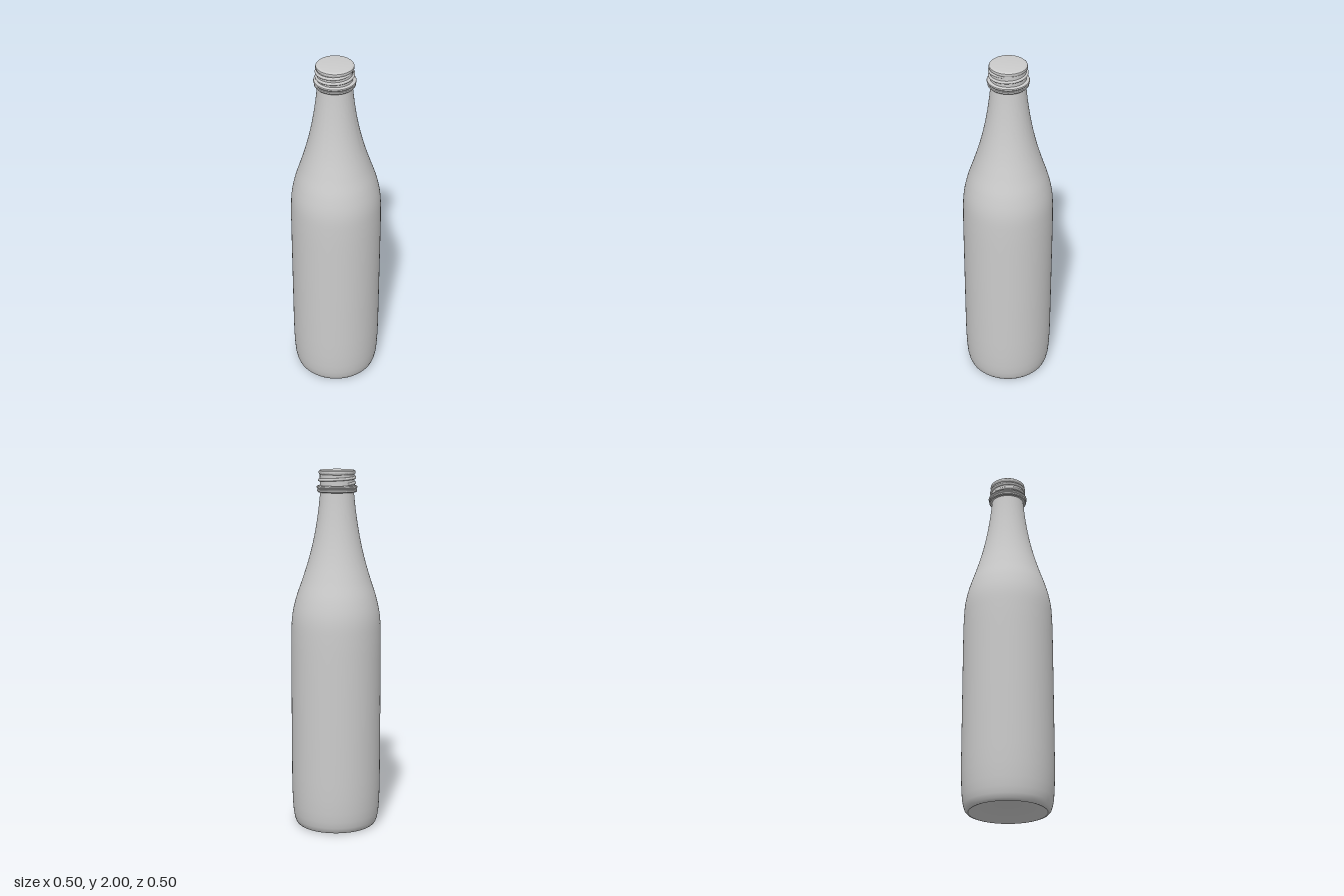
import * as THREE from 'three';
import { toCreasedNormals } from 'three/addons/utils/BufferGeometryUtils.js';

const material = new THREE.MeshStandardMaterial({ color: 0xcccccc });
const NECK_OFFSET = -0.006; // the neck sits slightly off the body's axis

const vectors = (pairs) => pairs.map(([r, y]) => new THREE.Vector2(r, y));

// Turned part with smooth curves and sharp corners
function turned(name, points) {
  const geometry = toCreasedNormals(new THREE.LatheGeometry(points, 96), 0.6);
  const mesh = new THREE.Mesh(geometry, material);
  mesh.name = name;
  return mesh;
}

// Ridge that winds round the finish and sinks into it at both ends
function threadRidge(turns, yStart, yEnd) {
  const points = [];
  const steps = 72;
  for (let i = 0; i <= steps; i++) {
    const t = i / steps;
    const a = t * turns * Math.PI * 2;
    const r = 0.089 + 0.007 * Math.min(1, t * 10, (1 - t) * 10);
    points.push(new THREE.Vector3(r * Math.cos(a), THREE.MathUtils.lerp(yStart, yEnd, t), r * Math.sin(a)));
  }
  const curve = new THREE.CatmullRomCurve3(points);
  const mesh = new THREE.Mesh(new THREE.TubeGeometry(curve, 180, 0.008, 10), material);
  mesh.name = 'threadRidge';
  return mesh;
}

export function createModel() {
  const group = new THREE.Group();
  group.name = 'bottle';

  // Hollowed base, rounded heel and straight wall
  const base = vectors([
    [0, 0.05], [0.06, 0.047], [0.12, 0.036], [0.17, 0.018], [0.2, 0.004], [0.21, 0],
    [0.22, 0.003], [0.228, 0.012], [0.236, 0.035], [0.242, 0.07], [0.246, 0.12], [0.249, 0.2],
    [0.25, 0.3], [0.25, 0.7],
  ]);

  // Shoulder sweeping up into the slender neck
  const shoulder = new THREE.SplineCurve(vectors([
    [0.25, 0.9], [0.249, 1.08], [0.243, 1.2], [0.222, 1.3], [0.189, 1.4], [0.158, 1.5],
    [0.133, 1.6], [0.114, 1.7], [0.1, 1.8], [0.091, 1.89],
  ])).getPoints(48);

  const body = turned('body', [...base, ...shoulder]);
  const p = body.geometry.attributes.position;
  for (let i = 0; i < p.count; i++) {
    p.setX(i, p.getX(i) + NECK_OFFSET * THREE.MathUtils.smoothstep(p.getY(i), 1.1, 1.75));
  }
  group.add(body);

  // Finish: collar ring, threaded wall and closed top
  const finish = new THREE.Group();
  finish.name = 'finish';
  finish.position.x = NECK_OFFSET;

  finish.add(turned('collar', vectors([
    [0.085, 1.88], [0.104, 1.88], [0.108, 1.885], [0.108, 1.893], [0.105, 1.897],
    [0.108, 1.901], [0.112, 1.906], [0.11, 1.912], [0.104, 1.916], [0.085, 1.917],
  ])));

  finish.add(turned('closedTop', vectors([
    [0.094, 1.91], [0.094, 1.975], [0.099, 1.98], [0.101, 1.986], [0.099, 1.994],
    [0.093, 1.999], [0.086, 2], [0, 2],
  ])));

  finish.add(threadRidge(1.6, 1.972, 1.926));
  group.add(finish);

  return group;
}
